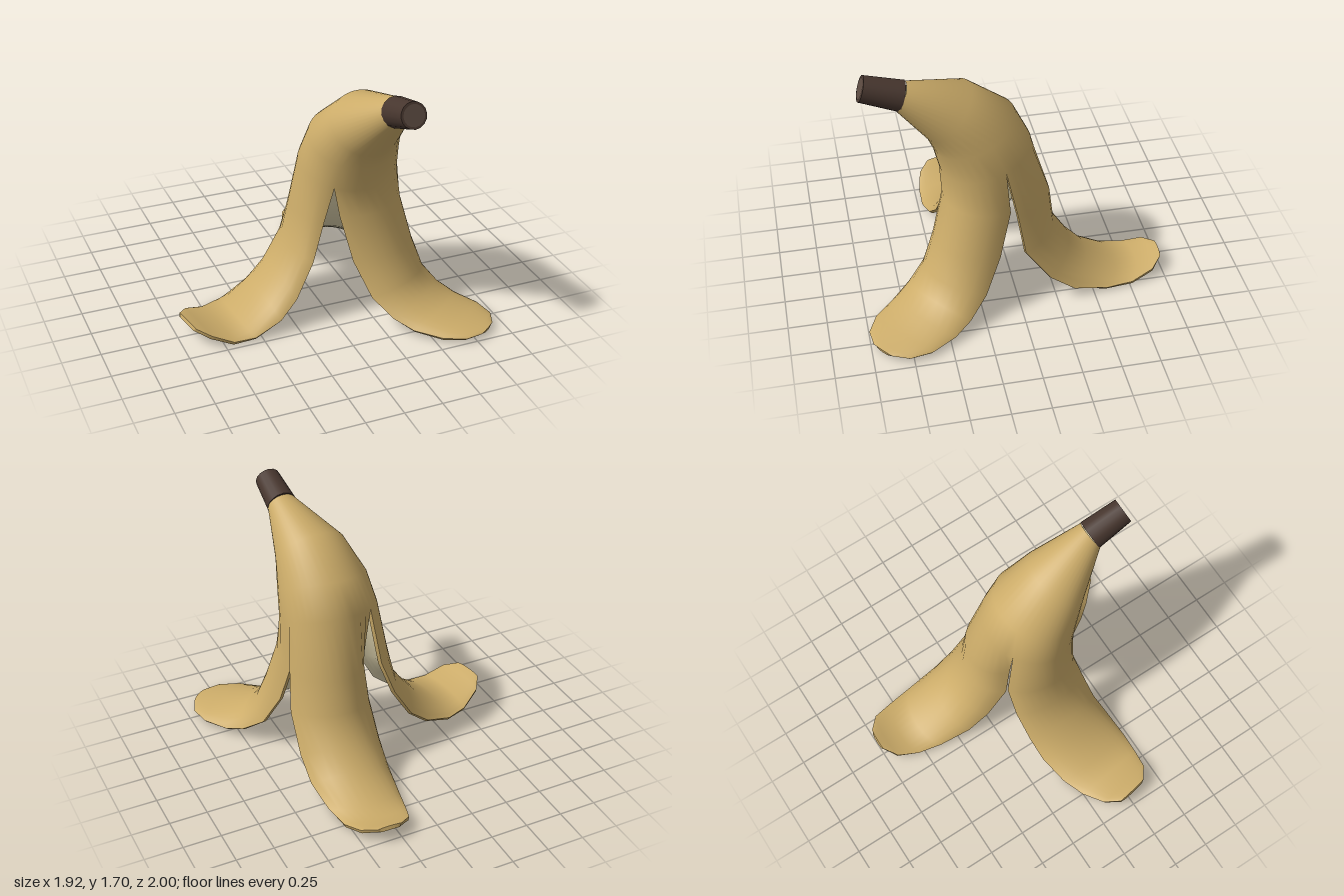
import * as THREE from 'three';

const COLS = 12;        // quads across one strip of peel
const THICK = 0.026;    // skin thickness
const rad = THREE.MathUtils.degToRad;

// Rings of the closed upper skin: centre x, half width in x, back [z, y], front [z, y]
const rings = [
  [0.285, 0.095, [0.64, 1.63], [0.72, 1.46]],
  [0.225, 0.23, [0.24, 1.52], [0.53, 1.2]],
  [0.21, 0.292, [-0.03, 1.31], [0.49, 1.1]],
  [0.2, 0.322, [-0.13, 1.1], [0.45, 0.93]],
];

// Strips: start and end angle on the rings, then origin, heading, twist at the
// root (fading to none at the tip) and rows of
// [crest distance, crest y, edge distance, edge y, half width]
const strips = [
  { from: -16, to: 126, origin: [0.2, 0.1], heading: 52, twist: 3, rows: [
    [0.375, 0.75, 0.14, 0.73, 0.275], [0.47, 0.47, 0.24, 0.43, 0.275],
    [0.545, 0.28, 0.38, 0.2, 0.275], [0.63, 0.18, 0.54, 0.095, 0.28],
    [0.76, 0.12, 0.68, 0.05, 0.275], [0.91, 0.085, 0.87, 0.042, 0.25],
    [1.02, 0.065, 1.0, 0.04, 0.18], [1.07, 0.055, 1.06, 0.042, 0.08]] },
  { from: 126, to: 234, origin: [0.2, 0.06], heading: 169.5, twist: 11, rows: [
    [0.375, 0.72, 0.24, 0.7, 0.25], [0.425, 0.48, 0.335, 0.44, 0.265],
    [0.53, 0.33, 0.47, 0.21, 0.27], [0.64, 0.2, 0.6, 0.1, 0.28],
    [0.82, 0.07, 0.79, 0.03, 0.27], [0.95, 0.065, 0.94, 0.03, 0.24],
    [1.09, 0.12, 1.08, 0.095, 0.19], [1.16, 0.14, 1.155, 0.13, 0.11]] },
  { from: 234, to: 344, origin: [0.3, 0.1], heading: 271.5, twist: 8, rows: [
    [0.34, 0.72, 0.13, 0.71, 0.245], [0.37, 0.48, 0.175, 0.43, 0.265],
    [0.48, 0.31, 0.335, 0.2, 0.27], [0.6, 0.18, 0.49, 0.08, 0.265],
    [0.8, 0.062, 0.71, 0.03, 0.24], [0.94, 0.062, 0.88, 0.03, 0.21],
    [1.04, 0.1, 1.02, 0.08, 0.165], [1.095, 0.12, 1.09, 0.11, 0.08]] },
];

function ringPoint([cx, rx, back, front], angle) {
  const s = Math.sin(angle), mix = (a, b) => (a + b) / 2 + s * (b - a) / 2;
  return [cx + rx * Math.cos(angle), mix(back[1], front[1]), mix(back[0], front[0])];
}

// Arched cross-section: s runs from -1 at one edge to 1 at the other
function peelPoint({ origin, heading, twist, rows }, r, s) {
  const [crestD, crestY, edgeD, edgeY, w] = rows[r];
  const full = rad(75), t = s * full;
  const f = (1 - Math.cos(t)) / (1 - Math.cos(full));
  const side = w * Math.sin(t) / Math.sin(full);
  const d = crestD + (edgeD - crestD) * f;
  const along = rad(heading), across = rad(heading + 90 + twist * (1 - r / (rows.length - 1)));
  return [
    origin[0] + Math.cos(along) * d + Math.cos(across) * side,
    crestY + (edgeY - crestY) * f,
    origin[1] + Math.sin(along) * d + Math.sin(across) * side,
  ];
}

function surface(positions, index) {
  const g = new THREE.BufferGeometry();
  g.setAttribute('position', new THREE.Float32BufferAttribute(positions, 3));
  g.setIndex(index);
  g.computeVertexNormals();
  return g;
}

// Outer skin, inner lining and the cut rim between them
function buildSkin() {
  const pos = [], index = [], known = new Map(), rims = [];
  const vertex = (p) => {
    const key = p.map((v) => (v + 10).toFixed(4)).join();
    if (!known.has(key)) {
      known.set(key, pos.length / 3);
      pos.push(...p);
    }
    return known.get(key);
  };
  for (const strip of strips) {
    const grid = [];
    const addRow = (fn) => grid.push(Array.from({ length: COLS + 1 }, (_, i) => vertex(fn(i / COLS))));
    for (const ring of rings) {
      addRow((u) => ringPoint(ring, rad(strip.from + (strip.to - strip.from) * u)));
    }
    strip.rows.forEach((_, r) => addRow((u) => peelPoint(strip, r, u * 2 - 1)));
    for (let r = 0; r + 1 < grid.length; r++) {
      for (let c = 0; c < COLS; c++) {
        const [a, b] = [grid[r][c], grid[r][c + 1]];
        const [d, e] = [grid[r + 1][c], grid[r + 1][c + 1]];
        index.push(a, b, d, b, e, d);
      }
    }
    // cut edge: down one side, across the tip, up the other side
    const free = grid.slice(rings.length - 1);
    rims.push([
      ...free.map((row) => row[0]),
      ...free[free.length - 1].slice(1, COLS),
      ...free.map((row) => row[COLS]).reverse(),
    ]);
  }
  const outer = surface(pos, index);
  const normal = outer.attributes.normal.array;
  const inPos = pos.map((v, i) => (i % 3 === 1 ? Math.max(0.002, v - normal[i] * THICK) : v - normal[i] * THICK));
  const inIndex = [];
  for (let i = 0; i < index.length; i += 3) inIndex.push(index[i], index[i + 2], index[i + 1]);
  const inner = surface(inPos, inIndex);

  const rimGeometries = rims.map((loop) => {
    const p = [], ix = [];
    loop.forEach((id, i) => {
      p.push(...pos.slice(id * 3, id * 3 + 3), ...inPos.slice(id * 3, id * 3 + 3));
      if (i) ix.push(2 * i - 2, 2 * i, 2 * i + 1, 2 * i - 2, 2 * i + 1, 2 * i - 1);
    });
    return surface(p, ix);
  });
  return { outer, inner, rimGeometries };
}

export function createModel() {
  const mat = (name, color) => Object.assign(new THREE.MeshStandardMaterial({ color }), { name });
  const yellow = mat('peelYellow', 0xccac69);
  const cream = mat('liningCream', 0xdcd1ac);
  const brown = mat('stemBrown', 0x48372f);
  const cut = mat('stemCutBrown', 0x5c4b41);

  const model = new THREE.Group();
  model.name = 'bananaPeel';
  const add = (name, geometry, material, parent = model) => {
    const mesh = new THREE.Mesh(geometry, material);
    mesh.name = name;
    parent.add(mesh);
    return mesh;
  };

  const skin = buildSkin();
  add('outerSkin', skin.outer, yellow);
  add('innerLining', skin.inner, cream);
  skin.rimGeometries.forEach((g, i) => add('peelRim' + (i + 1), g, yellow));

  // Stem, laid along the line from the neck to the cut end
  const start = new THREE.Vector3(0.285, 1.545, 0.675);
  const end = new THREE.Vector3(0.282, 1.625, 0.915);
  const axis = end.clone().sub(start);
  const length = axis.length();
  const stem = new THREE.Group();
  stem.name = 'stem';
  stem.position.copy(start).add(end).multiplyScalar(0.5);
  stem.quaternion.setFromUnitVectors(new THREE.Vector3(0, 1, 0), axis.normalize());
  model.add(stem);
  add('stemSide', new THREE.CylinderGeometry(0.083, 0.098, length, 16), brown, stem);
  const cutEnd = add('stemCutEnd', new THREE.CircleGeometry(0.068, 16), cut, stem);
  cutEnd.rotation.x = -Math.PI / 2;
  cutEnd.position.y = length / 2 + 0.003;

  return model;
}
